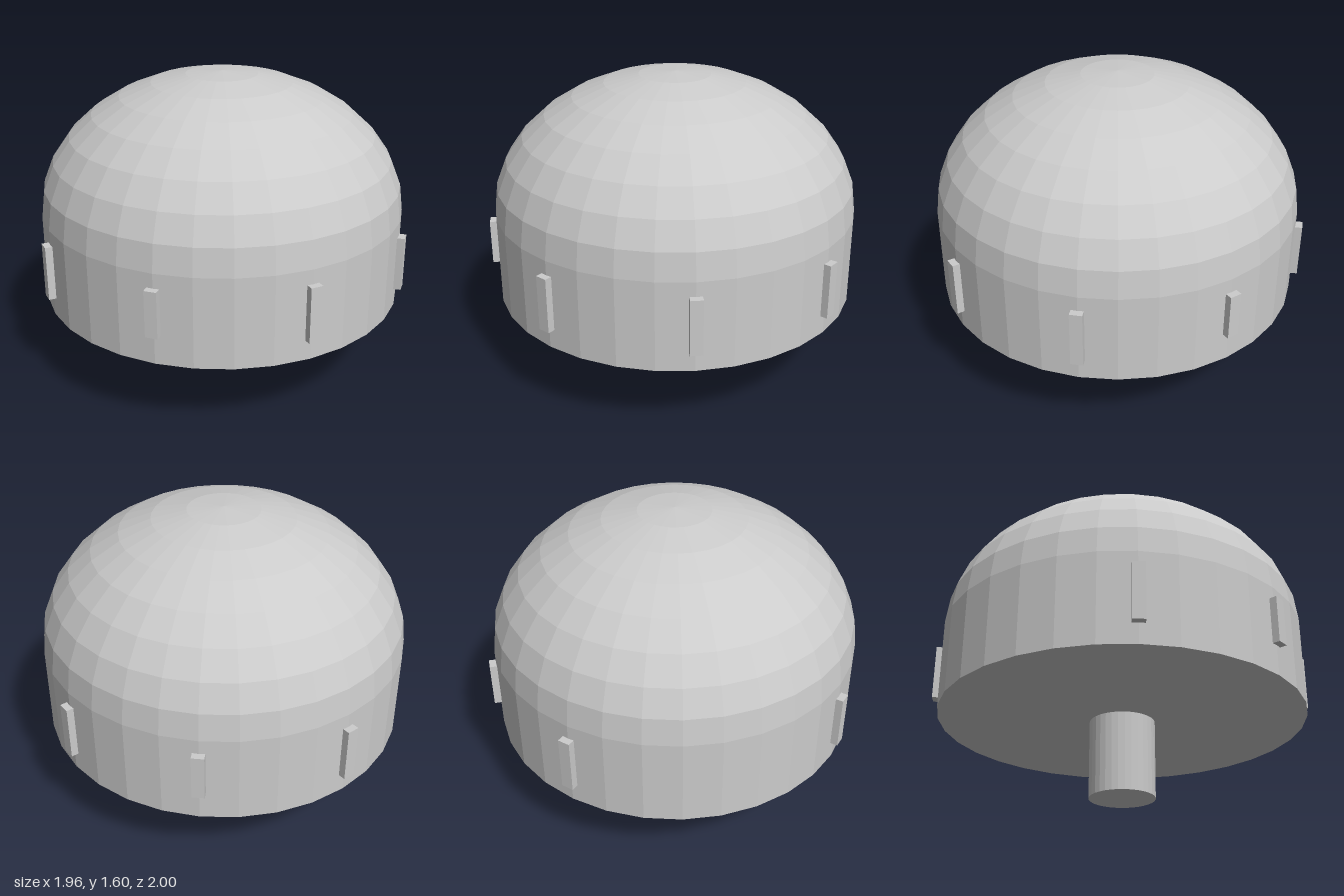
import * as THREE from 'three';

export function createModel() {
  const model = new THREE.Group();
  const material = new THREE.MeshStandardMaterial({ color: 0xcccccc, flatShading: true });
  const radius = 0.965;
  const sides = 32;

  function add(name, geometry, y, parent = model) {
    const mesh = new THREE.Mesh(geometry, material);
    mesh.name = name;
    mesh.position.y = y;
    parent.add(mesh);
    return mesh;
  }

  // Squashed hemisphere on top
  const dome = new THREE.SphereGeometry(radius, sides, 8, 0, Math.PI * 2, 0, Math.PI / 2);
  dome.scale(1, 0.72 / radius, 1);
  add('dome', dome, 0.88);

  // Upright wall, closed below by a thin plate
  add('band', new THREE.CylinderGeometry(radius, radius, 0.43, sides, 1, true), 0.665);
  add('basePlate', new THREE.CylinderGeometry(radius, radius, 0.04, sides), 0.43);

  // Central stem
  add('stem', new THREE.CylinderGeometry(0.172, 0.172, 0.41, sides), 0.205);

  // Seven ribs at 45 degree steps, none on the -x side; front and back ones are shorter
  const top = 0.805;
  for (let i = 0; i < 8; i++) {
    if (i === 4) continue;
    const height = i === 2 || i === 6 ? 0.24 : 0.29;
    const pivot = new THREE.Group();
    pivot.name = 'rib' + i;
    pivot.rotation.y = (i * Math.PI) / 4;
    const rib = add('ribBlock', new THREE.BoxGeometry(0.07, height, 0.063), top - height / 2, pivot);
    rib.position.x = 0.965;
    model.add(pivot);
  }

  // The missing rib shifts the body slightly towards -x
  model.position.x = -0.0175;
  const root = new THREE.Group();
  root.name = 'domedKnob';
  model.name = 'body';
  root.add(model);
  return root;
}
